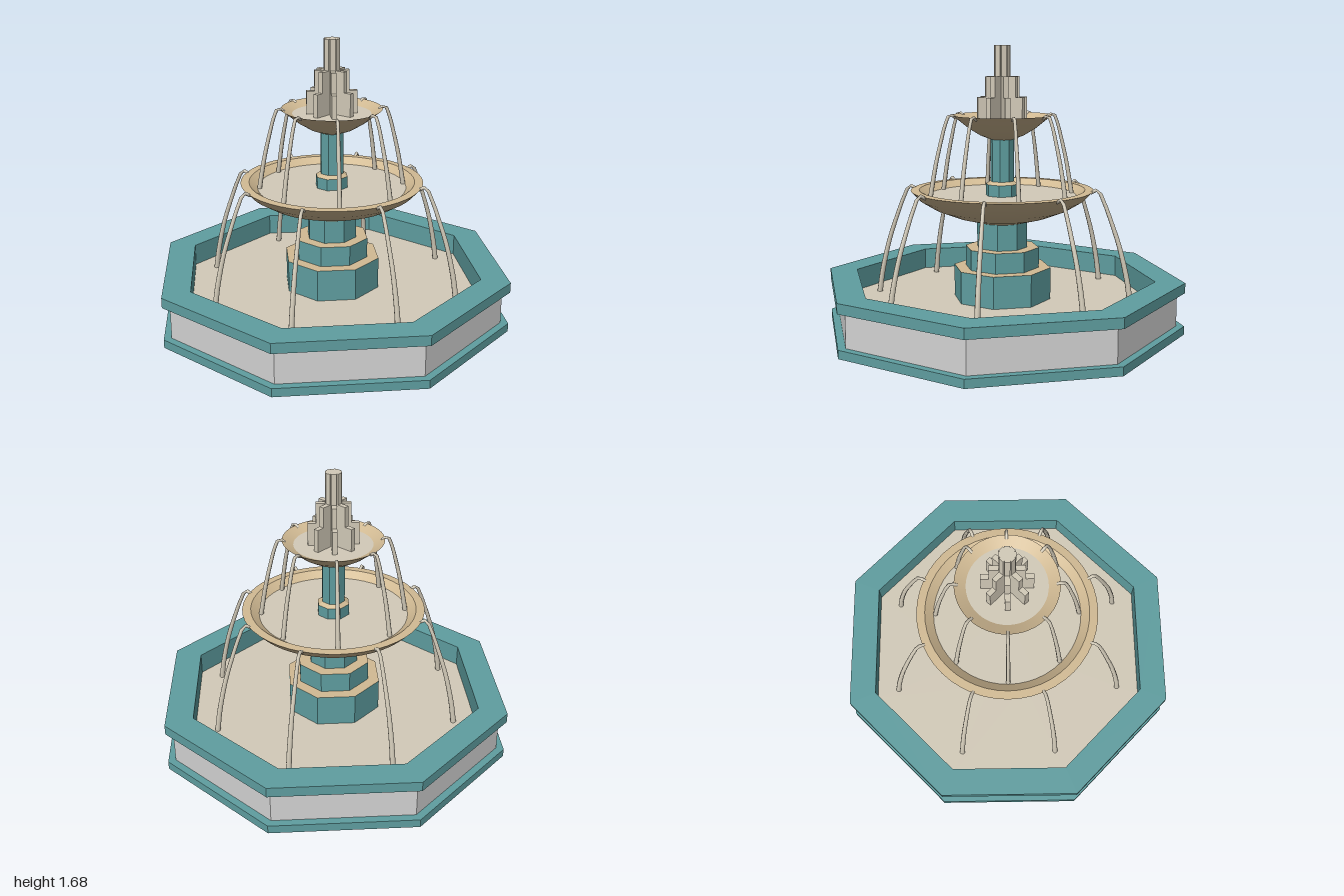
import * as THREE from 'three';

const mat = (name, color) => new THREE.MeshStandardMaterial({ name, color, side: THREE.DoubleSide });

export function createModel() {
  const teal = mat('teal', 0x5f9ea0);
  const grey = mat('light grey', 0xd3d3d3);
  const tan = mat('tan', 0xd2bb94);
  const water = mat('pale water', 0xd3cbb9);

  const model = new THREE.Group();
  model.name = 'fountain';

  const add = (name, geometry, material, parent = model) => {
    const mesh = new THREE.Mesh(geometry, material);
    mesh.name = name;
    parent.add(mesh);
    return mesh;
  };

  // Flat-sided octagonal surface from [apothem, height] points, flats facing the axes
  const octagon = (name, points, material) => {
    const k = 1 / Math.cos(Math.PI / 8);
    const profile = points.map(([a, y]) => new THREE.Vector2(a * k, y));
    const geometry = new THREE.LatheGeometry(profile, 8, Math.PI / 8).toNonIndexed();
    geometry.computeVertexNormals();
    return add(name, geometry, material);
  };

  // Smooth round surface from [radius, height] points
  const round = (name, points, material) =>
    add(name, new THREE.LatheGeometry(points.map(p => new THREE.Vector2(...p)), 48), material);

  // Basin: base course, open wall shell, overhanging rim with inner wall, water
  octagon('basinBase', [[0.955, 0], [1, 0], [1, 0.05], [0.955, 0.05], [0.955, 0]], teal);
  octagon('basinWall', [[0.957, 0.05], [0.957, 0.25]], grey);
  octagon('basinRim', [[0.84, 0.25], [1, 0.25], [1, 0.31], [0.84, 0.31], [0.84, 0.18]], teal);
  octagon('basinWater', [[0.27, 0.18], [0.84, 0.18]], water);

  // Stepped pedestal: teal sides with tan ledges
  const tiers = [[0.27, 0.18, 0.37], [0.205, 0.37, 0.49], [0.14, 0.49, 0.645]];
  tiers.forEach(([a, y0, y1], i) => {
    octagon(`pedestalTier${i + 1}`, [[a, y0], [a, y1]], teal);
    if (tiers[i + 1]) octagon(`pedestalLedge${i + 1}`, [[a, y1], [tiers[i + 1][0], y1]], tan);
  });

  // Lower bowl
  round('lowerBowl', [[0.13, 0.64], [0.28, 0.68], [0.4, 0.727], [0.49, 0.782], [0.54, 0.835]], tan);
  round('lowerBowlRim', [[0.54, 0.835], [0.49, 0.837]], tan);
  round('lowerBowlInside', [[0.49, 0.837], [0.44, 0.8]], tan);
  round('lowerBowlWater', [[0.44, 0.8], [0, 0.8]].reverse(), water);

  // Column and its collar
  octagon('columnCollar', [[0.09, 0.8], [0.09, 0.868]], teal);
  octagon('columnCollarTop', [[0.09, 0.868], [0.065, 0.885]], tan);
  octagon('column', [[0.065, 0.885], [0.065, 1.14]], teal);

  // Upper bowl
  round('upperBowl', [[0.06, 1.13], [0.13, 1.157], [0.2, 1.2], [0.255, 1.245], [0.295, 1.275]], tan);
  round('upperBowlInside', [[0.295, 1.275], [0.23, 1.245]], tan);
  round('upperBowlWater', [[0, 1.245], [0.23, 1.245]], water);

  // Central jet: eight radial arms rising in three steps
  const jet = new THREE.Group();
  jet.name = 'centralJet';
  model.add(jet);
  const steps = [[0.147, 1.245, 1.38], [0.1, 1.38, 1.5], [0.046, 1.5, 1.68]];
  for (let i = 0; i < 8; i++) {
    const arm = new THREE.Group();
    arm.name = 'jetArm';
    arm.rotation.y = i * Math.PI / 4;
    jet.add(arm);
    for (const [r, y0, y1] of steps) {
      const box = new THREE.BoxGeometry(r, y1 - y0, 0.03).translate(r / 2, (y0 + y1) / 2, 0);
      add('jetStep', box, water, arm);
    }
  }

  // Arcing water stream in the x-y plane, thickening as it falls
  const streamGeometry = (points, r0, r1) => {
    const curve = new THREE.CatmullRomCurve3(points.map(([x, y]) => new THREE.Vector3(x, y, 0)));
    const rings = 20, sides = 8;
    const geometry = new THREE.TubeGeometry(curve, rings, 1, sides);
    const pos = geometry.attributes.position;
    const v = new THREE.Vector3();
    for (let i = 0; i < pos.count; i++) {
      const t = Math.floor(i / (sides + 1)) / rings;
      const centre = curve.getPointAt(t);
      v.fromBufferAttribute(pos, i).sub(centre).multiplyScalar(r0 + (r1 - r0) * t).add(centre);
      pos.setXYZ(i, v.x, v.y, v.z);
    }
    return geometry;
  };

  const streamRing = (name, points, r0, r1, offset) => {
    const geometry = streamGeometry(points, r0, r1);
    for (let i = 0; i < 8; i++) {
      add(name, geometry, water).rotation.y = offset + i * Math.PI / 4;
    }
  };
  streamRing('lowerStream',
    [[0.525, 0.825], [0.565, 0.843], [0.6, 0.78], [0.65, 0.65], [0.7, 0.5], [0.745, 0.31], [0.765, 0.18]],
    0.01, 0.017, Math.PI / 8);
  streamRing('upperStream',
    [[0.275, 1.262], [0.31, 1.28], [0.335, 1.23], [0.365, 1.12], [0.395, 0.99], [0.42, 0.85], [0.428, 0.8]],
    0.009, 0.014, 0);

  return model;
}
